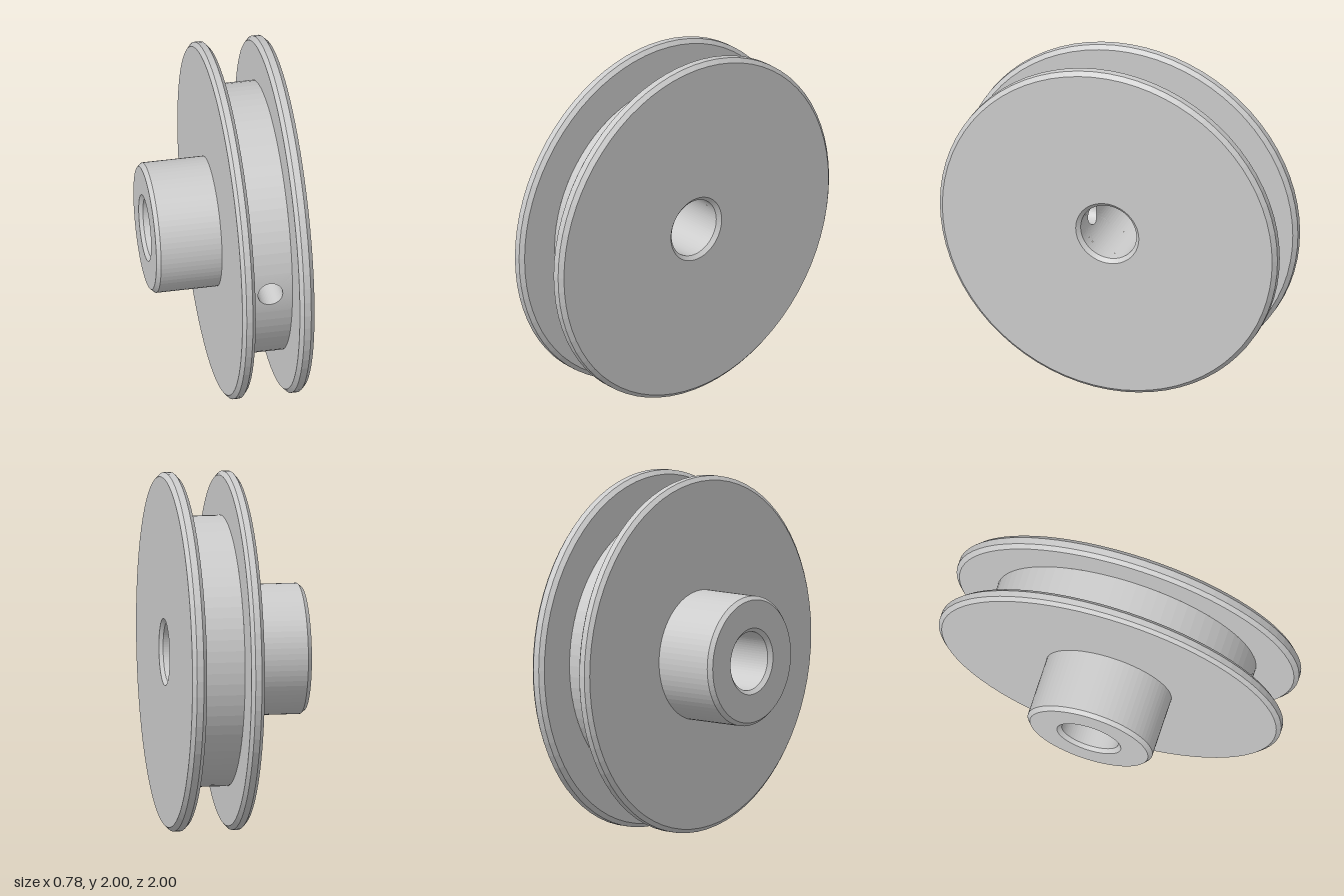
import * as THREE from 'three';

const SEGMENTS = 72;
const BORE = 0.165, DRUM = 0.755;      // bore and groove-floor radii
const X0 = 0.055, X1 = 0.305;          // groove between the flanges
const HOLE = 0.07, HOLE_X = (X0 + X1) / 2, HALF = (X1 - X0) / 2;

const material = new THREE.MeshStandardMaterial({ color: 0xcccccc, flatShading: true });

export function createModel() {
  const pulley = new THREE.Group();
  pulley.name = 'pulley';

  const add = (name, geometry) => {
    const mesh = new THREE.Mesh(geometry, material);
    mesh.name = name;
    mesh.position.y = 1;
    pulley.add(mesh);
  };

  // Turn [radius, x] points about the x axis, leaving a gap of +-gap radians at the front
  const turn = (points, gap = 0) => new THREE.LatheGeometry(
    points.map(([r, x]) => new THREE.Vector2(r, x)),
    SEGMENTS, gap, Math.PI * 2 - 2 * gap
  ).rotateZ(-Math.PI / 2);

  // Ring-shaped surface: point(angle, v) swept round the set-screw hole
  const ring = (point, rows, flip) => {
    const cols = 48, positions = [], index = [];
    for (let i = 0; i <= cols; i++) {
      for (let j = 0; j <= rows; j++) {
        positions.push(...point((i / cols) * Math.PI * 2, j / rows));
        if (i === cols || j === rows) continue;
        const a = i * (rows + 1) + j, b = a + 1, d = a + rows + 1, c = d + 1;
        index.push(...(flip ? [a, c, b, a, d, c] : [a, b, c, a, c, d]));
      }
    }
    const geometry = new THREE.BufferGeometry();
    geometry.setAttribute('position', new THREE.Float32BufferAttribute(positions, 3));
    geometry.setIndex(index);
    geometry.computeVertexNormals();
    return geometry;
  };

  // Point on a cylinder wall, at polar offset (rho, t) from the hole's axis
  const onWall = (radius, rho, t) => {
    const y = rho * Math.sin(t);
    return [HOLE_X + rho * Math.cos(t), y, Math.sqrt(radius * radius - y * y)];
  };

  // Square patch of wall with the round hole in it
  const patch = (radius, flip) => ring((t, v) => {
    const edge = HALF / Math.max(Math.abs(Math.cos(t)), Math.abs(Math.sin(t)));
    return onWall(radius, THREE.MathUtils.lerp(HOLE, edge, v), t);
  }, 6, flip);

  // Hub and inner flange, with chamfered edges
  add('hubAndInnerFlange', turn([
    [BORE, X0], [BORE, -0.368], [0.187, -0.388], [0.345, -0.388], [0.365, -0.365],
    [0.365, -0.02], [0.977, -0.02], [1, 0], [1, 0.035], [0.977, X0], [DRUM, X0],
  ]));

  // Outer flange with chamfered rim and bore mouth
  add('outerFlange', turn([
    [DRUM, X1], [0.977, X1], [1, 0.327], [1, 0.365], [0.977, 0.388],
    [0.187, 0.388], [BORE, 0.368], [BORE, X1],
  ]));

  // Groove floor and matching bore wall, each closed at the front by a pierced patch
  add('grooveFloor', turn([[DRUM, X0], [DRUM, X1]], Math.asin(HALF / DRUM)));
  add('grooveFloorHolePatch', patch(DRUM, false));
  add('boreWall', turn([[BORE, X1], [BORE, X0]], Math.asin(HALF / BORE)));
  add('boreHolePatch', patch(BORE, true));

  // Radial set-screw hole from the groove to the bore
  add('setScrewHole', ring((t, v) => {
    const [x, y, z] = onWall(DRUM, HOLE, t);
    return [x, y, THREE.MathUtils.lerp(z, onWall(BORE, HOLE, t)[2], v)];
  }, 1, true));

  return pulley;
}
